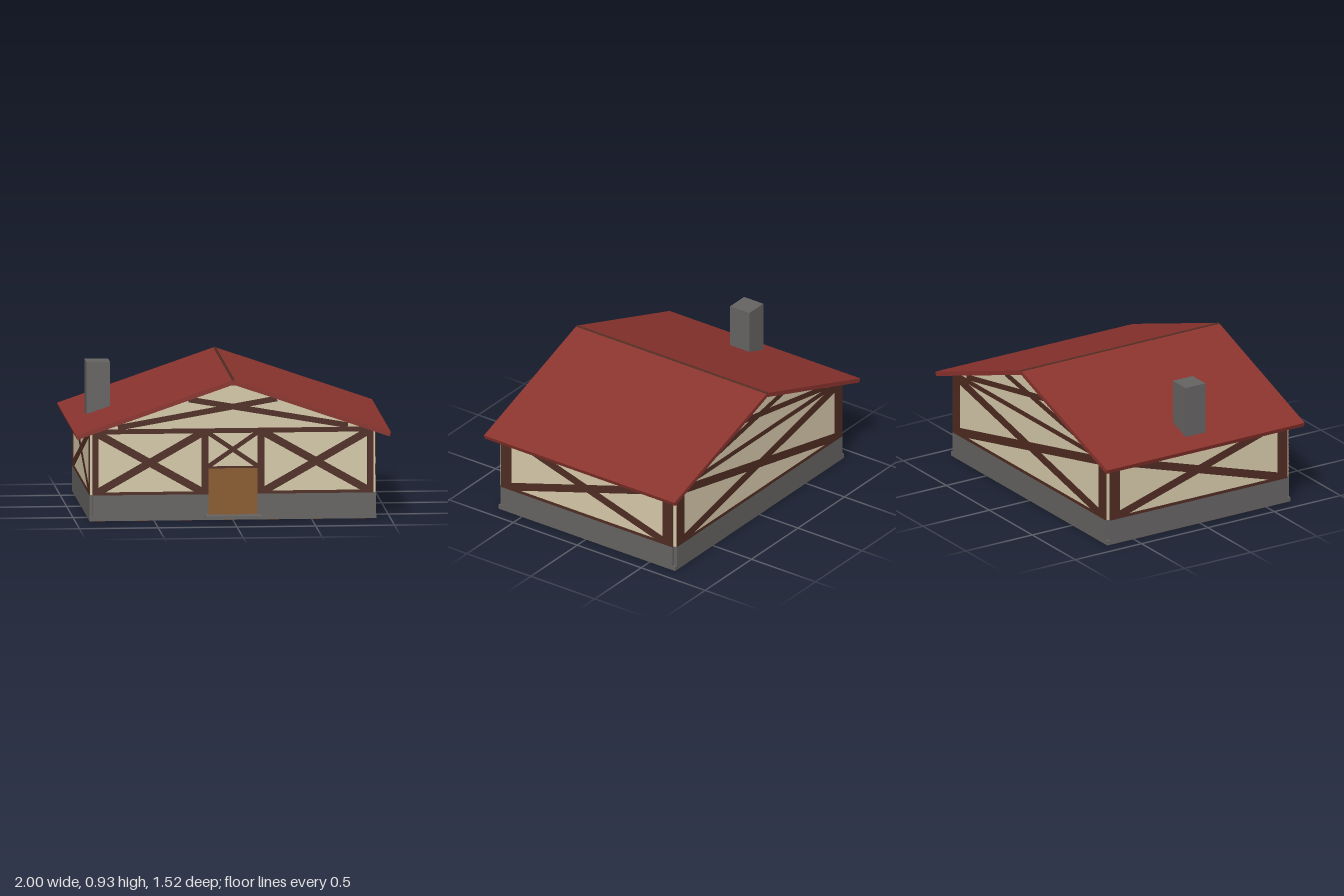
import * as THREE from 'three';

const mat = (name, color) => {
  const m = new THREE.MeshStandardMaterial({ color });
  m.name = name;
  return m;
};

export function createModel() {
  const plaster = mat('plaster', 0xd6c9aa);
  const timber = mat('timber', 0x4f2c22);
  const stone = mat('stone', 0x656362);
  const tile = mat('roofTile', 0x8a332d);
  const wood = mat('doorWood', 0x8a5a2c);
  const earth = mat('underside', 0x724627);

  const house = new THREE.Group();
  house.name = 'house';

  const group = (name) => {
    const g = new THREE.Group();
    g.name = name;
    house.add(g);
    return g;
  };

  // box given by its min and max on each axis
  const box = (parent, name, m, x0, x1, y0, y1, z0, z1) => {
    const mesh = new THREE.Mesh(new THREE.BoxGeometry(x1 - x0, y1 - y0, z1 - z0), m);
    mesh.position.set((x0 + x1) / 2, (y0 + y1) / 2, (z0 + z1) / 2);
    mesh.name = name;
    parent.add(mesh);
    return mesh;
  };

  // thin timber plates on a wall whose outer face is local z = 0
  const plate = (w, name, x0, x1, y0, y1) => box(w, name, timber, x0, x1, y0, y1, -0.006, 0);
  const brace = (w, x0, y0, x1, y1, width, extra = 0) => {
    const len = Math.hypot(x1 - x0, y1 - y0) + 2 * extra;
    const b = plate(w, 'brace', -len / 2, len / 2, -width / 2, width / 2);
    b.position.set((x0 + x1) / 2, (y0 + y1) / 2, -0.0035);
    b.rotation.z = Math.atan2(y1 - y0, x1 - x0);
  };
  const cross = (w, x0, x1, y0, y1, width, extra) => {
    brace(w, x0, y0, x1, y1, width, extra);
    brace(w, x0, y1, x1, y0, width, extra);
  };

  // wall slab: stone plinth, plaster outline and sill beam
  const T = 0.02;
  const wall = (name, half, outline, x, z, turn) => {
    const w = group(name);
    w.position.set(x, 0, z);
    w.rotation.y = turn;
    box(w, 'plinth', stone, -half, half, 0.03, 0.165, -T, 0);
    const shape = new THREE.Shape(outline.map(([px, py]) => new THREE.Vector2(px, py)));
    const panel = new THREE.Mesh(
      new THREE.ExtrudeGeometry(shape, { depth: T - 0.003, bevelEnabled: false }), plaster);
    panel.position.z = -T;
    panel.name = 'plasterPanel';
    w.add(panel);
    plate(w, 'sill', -half, half, 0.165, 0.184);
    return w;
  };

  // gable walls, front and back
  const H = 0.892;
  const gableOutline = [[-H, 0.165], [H, 0.165], [H, 0.57], [0, 0.88], [-H, 0.57]];
  const gableWall = (name, z, turn) => {
    const w = wall(name, H, gableOutline, 0, z, turn);
    plate(w, 'tieBeam', -0.87, 0.87, 0.555, 0.586);
    for (const s of [-1, 1]) brace(w, s * 0.73, 0.596, s * -0.28, 0.772, 0.036);
    plate(w, 'apex', -0.025, 0.025, 0.857, 0.872);
    return w;
  };
  const front = gableWall('frontWall', 0.68, 0);
  for (const s of [-1, 1]) {
    const post = (a, b) => plate(front, 'post', Math.min(s * a, s * b), Math.max(s * a, s * b), 0.165, 0.565);
    post(0.853, H);
    post(0.155, 0.2);
    cross(front, Math.min(s * 0.21, s * 0.845), Math.max(s * 0.21, s * 0.845), 0.19, 0.55, 0.048, 0.012);
  }
  cross(front, -0.145, 0.145, 0.35, 0.55, 0.028, 0.015);
  plate(front, 'lintel', -0.155, 0.155, 0.325, 0.343);

  const back = gableWall('backWall', -0.70, Math.PI);
  plate(back, 'post', -H, -0.81, 0.165, 0.565);
  plate(back, 'post', 0.81, H, 0.165, 0.565);
  cross(back, -0.8, 0.8, 0.195, 0.545, 0.056, 0.02);

  // side walls with one big cross
  const S = 0.67;
  const sideOutline = [[-S, 0.165], [S, 0.165], [S, 0.565], [-S, 0.565]];
  for (const s of [-1, 1]) {
    const w = wall(s > 0 ? 'leftWall' : 'rightWall', S, sideOutline, s * 0.91, -0.01, s * Math.PI / 2);
    plate(w, 'post', -S, -0.593, 0.165, 0.565);
    plate(w, 'post', 0.593, S, 0.165, 0.565);
    cross(w, -0.58, 0.58, 0.195, 0.545, 0.052, 0.02);
  }

  // floor slab, door and step
  box(house, 'floorSlab', stone, -0.91, 0.91, 0.001, 0.03, -0.70, 0.68);
  box(house, 'underside', earth, -0.909, 0.909, 0, 0.002, -0.699, 0.679);
  box(house, 'door', wood, -0.155, 0.155, 0.03, 0.33, 0.675, 0.682);
  box(house, 'doorStep', stone, -0.18, 0.18, 0.02, 0.035, 0.66, 0.76);

  // two roof slopes with a dark ridge seam
  const angle = Math.atan(0.345);
  const L = 1 / Math.cos(angle);
  for (const s of [-1, 1]) {
    const roof = group(s > 0 ? 'roofLeft' : 'roofRight');
    roof.position.y = 0.9;
    roof.rotation.z = -s * angle;
    const slab = (name, m, b, y0, y1) =>
      box(roof, name, m, Math.min(0, s * b), Math.max(0, s * b), y0, y1, -0.76, 0.73);
    slab('roofSlope', tile, L, -0.028, 0);
    slab('ridgeSeam', timber, 0.009, -0.002, 0.002);
  }

  // chimney
  box(house, 'chimney', stone, -0.88, -0.73, 0.575, 0.93, -0.09, 0.06);

  return house;
}
